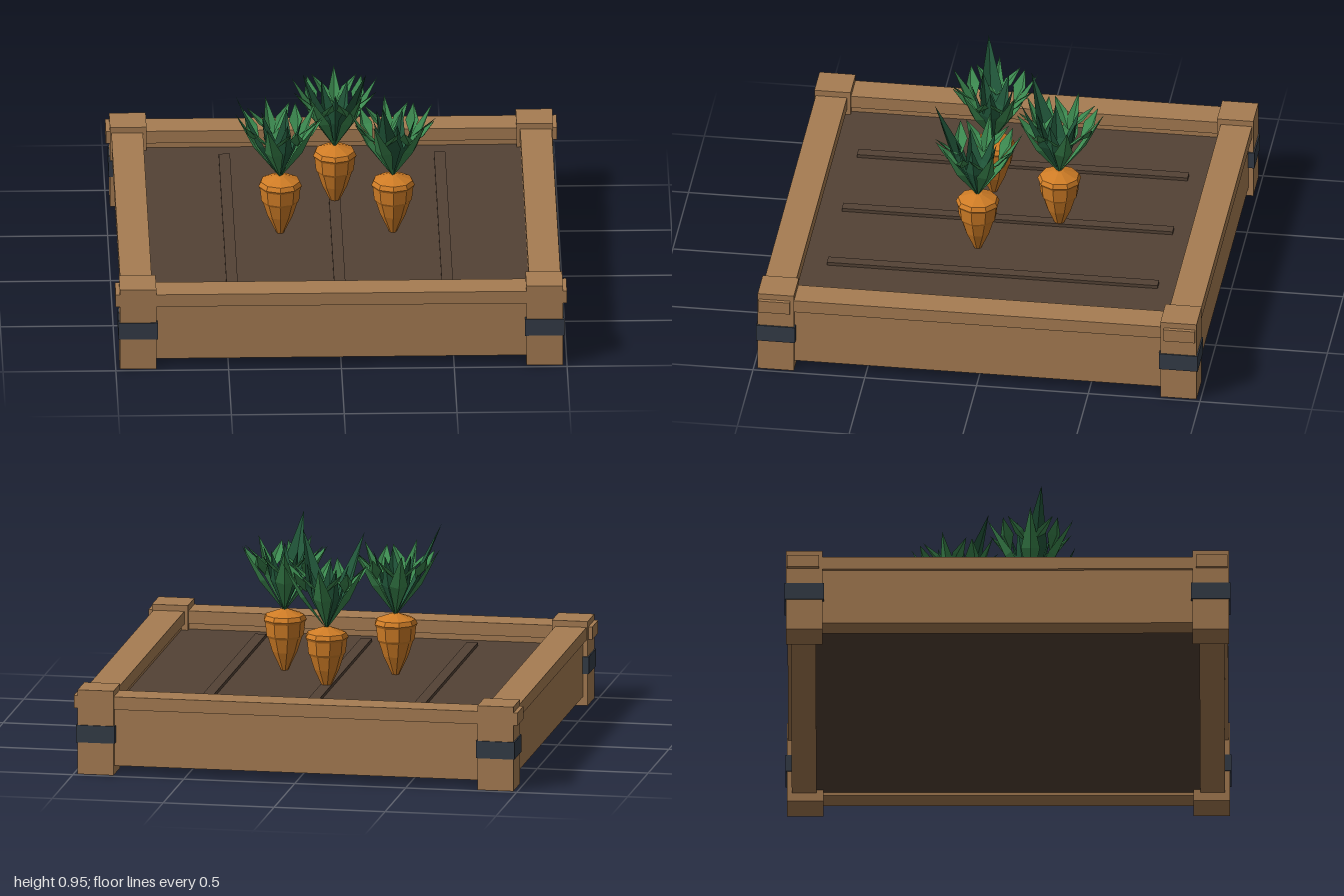
import * as THREE from 'three';
import { mergeGeometries } from 'three/addons/utils/BufferGeometryUtils.js';

const material = (name, color, extra = {}) => {
  const m = new THREE.MeshStandardMaterial({ color, flatShading: true, ...extra });
  m.name = name;
  return m;
};

// Folded pointed blade in a frame where x is sideways, y up and z outward
function blade(base, tip, halfWidth, at, keel) {
  const a = new THREE.Vector3(...base);
  const t = new THREE.Vector3(...tip);
  const along = t.clone().sub(a);
  const side = new THREE.Vector3(along.z, 0, -along.x).normalize().cross(along).normalize();
  const across = new THREE.Vector3().crossVectors(side, along).normalize();
  const mid = a.clone().addScaledVector(along, at);
  const l = mid.clone().addScaledVector(across, halfWidth);
  const r = mid.clone().addScaledVector(across, -halfWidth);
  // the midrib is sunk below the two edges
  const k = mid.clone();
  k.y -= keel * 0.5;
  k.z += keel;
  const tris = [a, k, l, k, t, l, a, r, k, k, r, t];
  const g = new THREE.BufferGeometry().setFromPoints(tris);
  g.computeVertexNormals();
  return g;
}

export function createModel() {
  const model = new THREE.Group();
  model.name = 'planterBed';

  const wood = material('wood', 0xa67c52);
  const iron = material('dark iron', 0x343c47);
  const soil = material('soil', 0x534235);
  const orange = material('carrot orange', 0xd07d26);
  const leafDark = material('dark leaf', 0x22593c, { side: THREE.DoubleSide });
  const leafLight = material('light leaf', 0x3c8a50, { side: THREE.DoubleSide });

  const add = (parent, name, geometry, mat, x = 0, y = 0, z = 0) => {
    const mesh = new THREE.Mesh(geometry, mat);
    mesh.name = name;
    mesh.position.set(x, y, z);
    parent.add(mesh);
    return mesh;
  };
  const box = (name, w, h, d, mat, x, y, z) =>
    add(model, name, new THREE.BoxGeometry(w, h, d), mat, x, y, z);

  // Corner posts with iron bands
  for (const sx of [-1, 1]) {
    for (const sz of [-1, 1]) {
      box('cornerPost', 0.162, 0.382, 0.162, wood, sx * 0.901, 0.191, sz * 0.901);
      box('postBand', 0.174, 0.078, 0.174, iron, sx * 0.901, 0.184, sz * 0.901);
    }
  }

  // Side boards and the cap rails over them
  for (const s of [-1, 1]) {
    box('longBoard', 1.66, 0.257, 0.11, wood, 0, 0.1685, s * 0.905);
    box('sideBoard', 0.11, 0.257, 1.66, wood, s * 0.905, 0.1685, 0);
    box('longCapRail', 2, 0.058, 0.14, wood, 0, 0.326, s * 0.906);
    box('sideCapRail', 0.14, 0.058, 1.672, wood, s * 0.906, 0.326, 0);
  }

  // Soil with three raised rows
  box('soilBed', 1.71, 0.215, 1.71, soil, 0, 0.1625, 0);
  for (const x of [-0.477, 0, 0.477]) {
    box('soilRow', 0.05, 0.025, 1.48, soil, x, 0.2725, 0);
  }

  // Carrot root: tapering, with a ringed shoulder
  const rootProfile = [
    [0, 0.235], [0.057, 0.355], [0.077, 0.418], [0.085, 0.43],
    [0.091, 0.488], [0.098, 0.5], [0.088, 0.52], [0.02, 0.545], [0, 0.545],
  ].map(([r, y]) => new THREE.Vector2(r, y));
  const rootGeometry = new THREE.LatheGeometry(rootProfile, 9);

  // Frond: one main leaf with two side leaflets
  const frondGeometry = mergeGeometries([
    blade([0, 0, 0], [0, 0.31, 0.2], 0.042, 0.5, 0.018),
    blade([0, 0.17, 0.09], [0.1, 0.285, 0.16], 0.03, 0.5, 0.014),
    blade([0, 0.17, 0.09], [-0.1, 0.285, 0.16], 0.03, 0.5, 0.014),
  ]);
  const tallGeometry = blade([0, 0, 0], [0, 0.415, 0.205], 0.055, 0.42, 0.02);
  const innerGeometry = blade([0, 0, 0], [0, 0.29, 0.1], 0.04, 0.5, 0.016);

  // Plants: position, direction of the first frond, directions of the tall leaves
  const plants = [
    { x: -0.25, z: 0.1, turn: -90, tall: [-76] },
    { x: 0.25, z: 0.1, turn: 118, tall: [-14] },
    { x: 0, z: -0.23, turn: 180, tall: [-45, 41] },
  ];
  for (const p of plants) {
    const plant = new THREE.Group();
    plant.name = 'carrotPlant';
    plant.position.set(p.x, 0, p.z);
    model.add(plant);
    add(plant, 'carrotRoot', rootGeometry, orange);
    const leaf = (name, geometry, mat, degrees) => {
      add(plant, name, geometry, mat, 0, 0.535, 0).rotation.y = THREE.MathUtils.degToRad(degrees);
    };
    for (let i = 0; i < 5; i++) {
      leaf('frond', frondGeometry, leafLight, p.turn + i * 72);
      leaf('innerLeaf', innerGeometry, leafDark, p.turn + 36 + i * 72);
    }
    for (const d of p.tall) leaf('tallLeaf', tallGeometry, leafDark, d);
  }

  return model;
}
